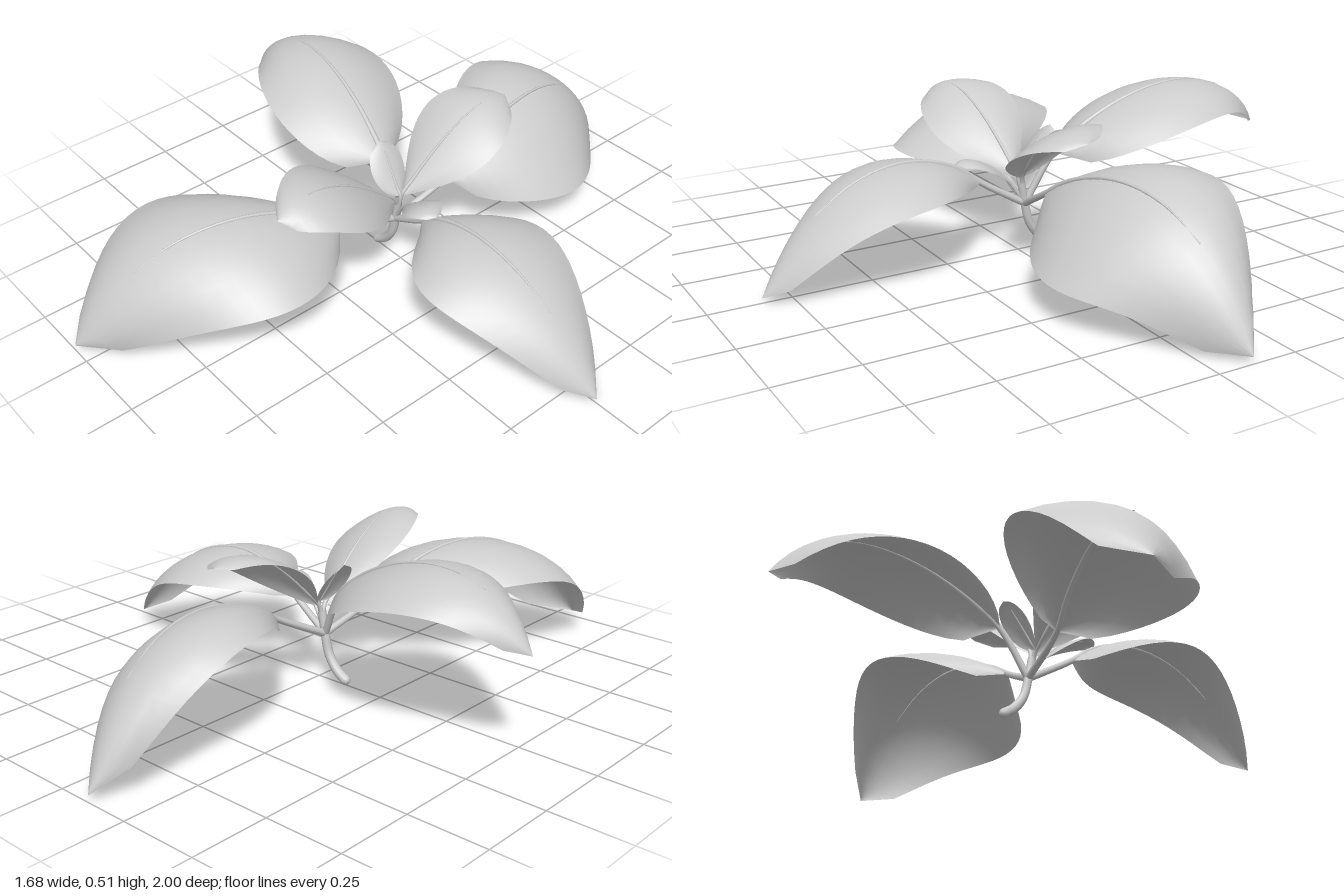
import * as THREE from 'three';

const V = (x, y, z) => new THREE.Vector3(x, y, z);
const NODE = V(-0.025, 0.15, 0);

// Each spine is a cubic Bezier: base, two handles, tip.
// roll: sideways tilt; cup: droop of the edges; skew: below 1 moves the widest part to the base;
// base, tip: lower is blunter
const LEAVES = [
  { name: 'leftLargeLeaf', width: 0.235, cup: 0.07, roll: 0, skew: 0.85, base: 1, tip: 0.6,
    spine: [V(0.12, 0.235, 0.02), V(0.3, 0.405, 0.04), V(0.62, 0.375, 0.03), V(0.84, 0.015, 0)] },
  { name: 'rightLargeLeaf', width: 0.23, cup: 0.08, roll: 0, skew: 0.75, base: 0.6, tip: 0.6,
    spine: [V(-0.11, 0.31, -0.03), V(-0.3, 0.5, -0.07), V(-0.67, 0.62, -0.11), V(-0.84, 0.33, -0.1)] },
  { name: 'backLargeLeaf', width: 0.255, cup: 0.125, roll: -0.12, skew: 1, base: 0.6, tip: 0.56,
    spine: [V(0.01, 0.24, -0.18), V(0, 0.4, -0.4), V(-0.05, 0.49, -0.8), V(-0.11, 0.02, -1)] },
  { name: 'frontLargeLeaf', width: 0.305, cup: 0.11, roll: 0.03, skew: 1, base: 0.6, tip: 0.48,
    spine: [V(-0.05, 0.22, 0.2), V(-0.11, 0.395, 0.4), V(-0.18, 0.455, 0.8), V(-0.31, 0.02, 1)] },
  { name: 'backSmallLeaf', width: 0.145, cup: 0.03, roll: -0.03, skew: 1, base: 1, tip: 0.5,
    spine: [V(-0.01, 0.24, -0.01), V(0.01, 0.38, -0.13), V(0.03, 0.525, -0.28), V(0.02, 0.455, -0.42)] },
  { name: 'frontSmallLeaf', width: 0.145, cup: 0.04, roll: 0.04, skew: 1, base: 1, tip: 0.5,
    spine: [V(-0.01, 0.23, 0.01), V(0.01, 0.38, 0.15), V(0.03, 0.53, 0.35), V(0.04, 0.43, 0.49)] },
  { name: 'leftSmallLeaf', width: 0.063, cup: 0.015, roll: 0, skew: 1.2, base: 0.9, tip: 0.5,
    spine: [V(0.02, 0.22, 0.01), V(0.07, 0.28, 0.02), V(0.15, 0.335, 0.025), V(0.2, 0.3, 0.03)] },
  { name: 'rightSmallLeaf', width: 0.062, cup: 0.015, roll: 0, skew: 1, base: 0.6, tip: 0.5,
    spine: [V(0, 0.25, 0), V(-0.03, 0.29, 0), V(-0.08, 0.38, -0.01), V(-0.11, 0.395, -0.01)] },
];

// Curved blade: rows of points swept across the spine
function bladeGeometry(curve, { width, cup, roll, skew, base, tip }) {
  const rows = 20, cols = 10;
  // Growth axis is the main horizontal direction of the spine
  const run = curve.v3.clone().sub(curve.v0);
  const dir = Math.abs(run.x) > Math.abs(run.z) ? V(Math.sign(run.x), 0, 0) : V(0, 0, Math.sign(run.z));
  const side = V(-dir.z, 0, dir.x);
  const pos = [], index = [];
  for (let i = 0; i <= rows; i++) {
    const p = curve.getPoint(i / rows);
    const s = THREE.MathUtils.clamp(p.clone().sub(curve.v0).dot(dir) / run.dot(dir), 0, 1);
    const bulge = Math.max(0, Math.sin(Math.PI * Math.pow(s, skew)));
    const w = Math.pow(bulge, THREE.MathUtils.lerp(base, tip, s));
    const normal = side.clone().cross(curve.getTangent(i / rows)).normalize();
    for (let j = 0; j <= cols; j++) {
      const u = (j / cols) * 2 - 1;
      const q = p.clone().addScaledVector(side, u * w * width).addScaledVector(normal, -cup * u * u * Math.sqrt(w));
      pos.push(q.x, q.y + roll * u * w, q.z);
      if (i < rows && j < cols) {
        const a = i * (cols + 1) + j, c = a + cols + 1;
        index.push(a, a + 1, c, a + 1, c + 1, c);
      }
    }
  }
  const g = new THREE.BufferGeometry();
  g.setAttribute('position', new THREE.Float32BufferAttribute(pos, 3));
  g.setIndex(index);
  g.computeVertexNormals();
  return g;
}

// Round tube narrowing from r0 to r1
function taperedTube(points, r0, r1) {
  const sides = 8, segments = 26, curve = new THREE.CatmullRomCurve3(points);
  const g = new THREE.TubeGeometry(curve, segments, 1, sides);
  const p = g.attributes.position, v = V(0, 0, 0);
  for (let k = 0; k < p.count; k++) {
    const t = Math.floor(k / (sides + 1)) / segments, c = curve.getPointAt(t);
    v.fromBufferAttribute(p, k).sub(c).multiplyScalar(THREE.MathUtils.lerp(r0, r1, t)).add(c);
    p.setXYZ(k, v.x, v.y, v.z);
  }
  return g;
}

export function createModel() {
  const model = new THREE.Group();
  model.name = 'leafyPlant';
  const material = new THREE.MeshStandardMaterial({ color: 0xcccccc, side: THREE.DoubleSide });
  const add = (parent, name, geometry) => {
    const mesh = new THREE.Mesh(geometry, material);
    mesh.name = name;
    parent.add(mesh);
  };

  // Short bent stem with a rounded foot
  const foot = V(-0.11, 0.016, 0);
  add(model, 'stem', taperedTube([foot, V(-0.075, 0.04, 0), V(-0.042, 0.085, 0), NODE, V(-0.012, 0.22, 0)], 0.016, 0.013));
  add(model, 'stemFoot', new THREE.SphereGeometry(0.016, 8, 6).translate(foot.x, foot.y, foot.z));

  // Each leaf has a blade and a stalk running on as the midrib
  for (const leaf of LEAVES) {
    const group = new THREE.Group();
    group.name = leaf.name;
    const curve = new THREE.CubicBezierCurve3(...leaf.spine);
    add(group, 'blade', bladeGeometry(curve, leaf));
    const path = [NODE];
    for (let i = 0; i <= 6; i++) path.push(curve.getPoint((i / 6) * 0.75));
    add(group, 'stalkAndMidrib', taperedTube(path, leaf.width > 0.2 ? 0.012 : 0.008, 0.002));
    model.add(group);
  }
  return model;
}
